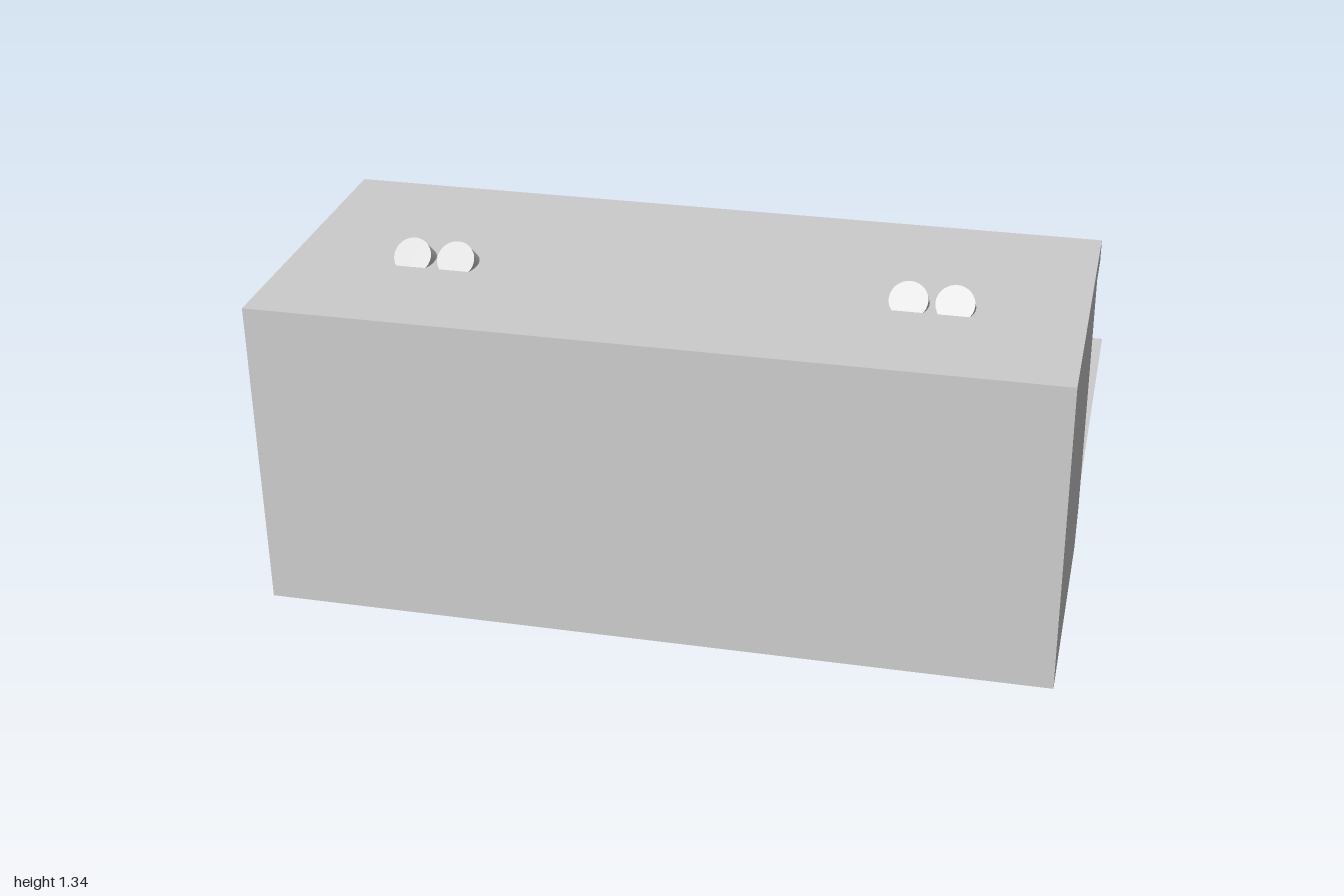
import * as THREE from 'three';

const material = new THREE.MeshStandardMaterial({ color: 0xcccccc, side: THREE.DoubleSide });

// Extrude a side profile of [z, y] corners across x, centred on the given x
function sideProfile(name, points, width, x = 0) {
  const shape = new THREE.Shape(points.map(([z, y]) => new THREE.Vector2(z, y)));
  const geometry = new THREE.ExtrudeGeometry(shape, { depth: width, bevelEnabled: false });
  geometry.rotateY(-Math.PI / 2);
  geometry.translate(x + width / 2, 0, 0);
  const mesh = new THREE.Mesh(geometry, material);
  mesh.name = name;
  return mesh;
}

// Straight round rod between two points
function rod(name, start, end, radius) {
  const direction = end.clone().sub(start);
  const geometry = new THREE.CylinderGeometry(radius, radius, direction.length(), 32);
  const mesh = new THREE.Mesh(geometry, material);
  mesh.name = name;
  mesh.position.copy(start).add(end).multiplyScalar(0.5);
  mesh.quaternion.setFromUnitVectors(new THREE.Vector3(0, 1, 0), direction.normalize());
  return mesh;
}

function box(name, width, height, depth, x, y, z) {
  const mesh = new THREE.Mesh(new THREE.BoxGeometry(width, height, depth), material);
  mesh.name = name;
  mesh.position.set(x, y, z);
  return mesh;
}

export function createModel() {
  const model = new THREE.Group();
  model.name = 'anchoredBlock';

  // Main block with overhanging top lip and chamfered lower back edge
  model.add(sideProfile('mainBlock', [
    [0.975, 0.46], [0.975, 1.278], [0.133, 1.278], [0.133, 1.218],
    [0.246, 1.218], [0.246, 0.555], [0.31, 0.46],
  ], 2));

  // Thin ground sheet behind the block
  const sheet = new THREE.Mesh(new THREE.PlaneGeometry(1.98, 1.29), material);
  sheet.name = 'groundSheet';
  sheet.rotation.x = -Math.PI / 2;
  sheet.position.set(0, 0.46, -0.335);
  model.add(sheet);

  // Small marker in the middle of the sheet
  model.add(box('centreMarker', 0.008, 0.004, 0.008, 0, 0.462, -0.043));

  for (const side of [-1, 1]) {
    // Slanted buttress passing down through the sheet
    model.add(sideProfile('buttress', [
      [0.31, 0.46], [0.246, 0.555], [0.246, 0.922], [-0.288, 0.472],
      [-0.288, 0.094], [-0.225, 0],
    ], 0.25, side * 0.627));

    // Pair of rods running through the block and down along the buttress
    for (const x of [0.57, 0.683]) {
      model.add(rod('anchorRod',
        new THREE.Vector3(side * x, 1.3, 0.641),
        new THREE.Vector3(side * x, 0.165, -0.704), 0.048));
    }

    // Shallow upright strip on the back wall
    model.add(box('backStrip', 0.135, 0.758, 0.09, side * 0.187, 0.839, 0.263));

    // Short pipe end at the chamfer
    model.add(rod('pipeEnd',
      new THREE.Vector3(side * 0.07, 0.5, 0.33),
      new THREE.Vector3(side * 0.07, 0.5, 0.25), 0.032));
  }
  return model;
}
